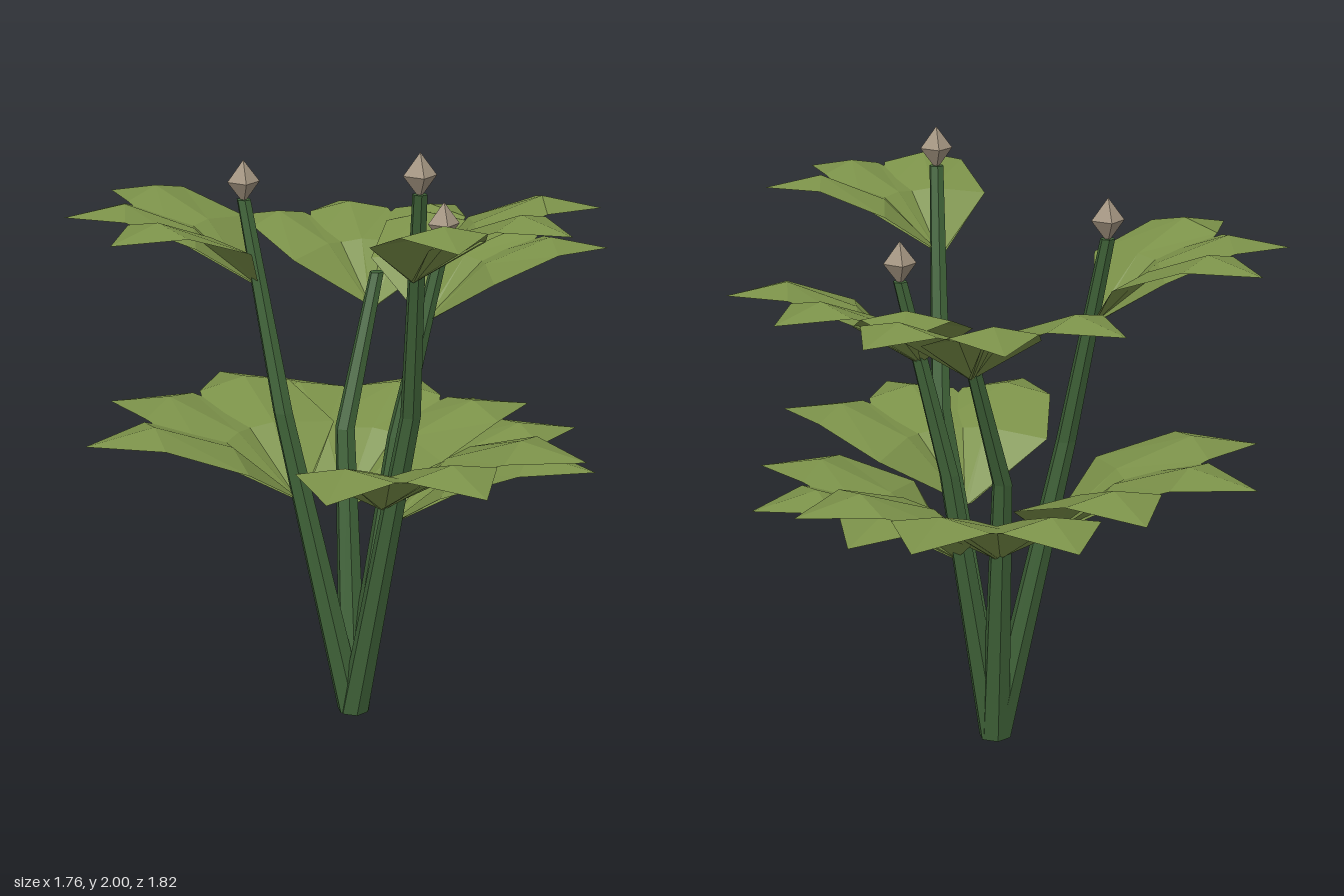
import * as THREE from 'three';

const leafMat = new THREE.MeshStandardMaterial({ color: 0x7b9149, flatShading: true, side: THREE.DoubleSide });
const stemMat = new THREE.MeshStandardMaterial({ color: 0x3f6238, flatShading: true });
const budMat = new THREE.MeshStandardMaterial({ color: 0xa59682, flatShading: true });

// One pointed lobe of unit length along +x, folded along its midrib.
// Cross-sections: [distance out, half width, midrib height, edge height]
function lobeGeometry() {
  const rows = [
    [0, 0.02, 0, 0.01],
    [0.32, 0.31, 0.32, 0.28],
    [0.68, 0.23, 0.46, 0.41],
    [1, 0, 0.39, 0.39],
  ];
  const positions = [];
  const index = [];
  rows.forEach(([x, w, mid, edge], i) => {
    positions.push(x, edge, -w, x, mid, 0, x, edge, w);
    if (i === 0) return;
    for (let j = 0; j < 2; j++) {
      const a = (i - 1) * 3 + j, b = a + 3;
      index.push(a, a + 1, b + 1);
      if (i < rows.length - 1) index.push(a, b + 1, b);
      else index.splice(-3, 3, a, a + 1, b + 1);
    }
  });
  const geo = new THREE.BufferGeometry();
  geo.setAttribute('position', new THREE.Float32BufferAttribute(positions, 3));
  geo.setIndex(index);
  const flat = geo.toNonIndexed();
  flat.computeVertexNormals();
  return flat;
}

// Three lobes fanned from one point; heading is measured from +x towards +z
function makeLeaf(name, lobe, { at, heading, size }) {
  const leaf = new THREE.Group();
  leaf.name = name;
  for (const turn of [-41, 0, 41]) {
    const mesh = new THREE.Mesh(lobe, leafMat);
    mesh.name = 'leafLobe';
    mesh.rotation.y = -THREE.MathUtils.degToRad(heading + turn);
    leaf.add(mesh);
  }
  leaf.position.set(...at);
  leaf.scale.set(size, 0.6 + (size - 0.6) * 0.5, size);
  return leaf;
}

// Six-sided tapering stem whose rings are moved onto three path points
function makeStem(path) {
  const radii = [0.05, 0.034, 0.024];
  const geo = new THREE.CylinderGeometry(1, 1, 2, 6, 2);
  const p = geo.attributes.position;
  for (let i = 0; i < p.count; i++) {
    const k = Math.round(p.getY(i)) + 1;
    const [x, y, z] = path[k];
    p.setXYZ(i, x + p.getX(i) * radii[k], y, z + p.getZ(i) * radii[k]);
  }
  geo.computeVertexNormals();
  const stem = new THREE.Mesh(geo, stemMat);
  stem.name = 'stem';
  return stem;
}

const shoots = [
  { // front
    path: [[0.02, 0, -0.025], [0.16, 1.1, 0.18], [0.135, 1.87, 0.38]], bud: true,
    lower: { at: [0.08, 0.77, 0.13], heading: 76, size: 0.69 },
    upper: { at: [0.13, 1.58, 0.33], heading: 50, size: 0.577 },
  },
  { // right
    path: [[0.015, 0, -0.035], [-0.2, 1.05, -0.11], [-0.3, 1.74, -0.235]], bud: true,
    lower: { at: [-0.14, 0.73, -0.12], heading: 217, size: 0.72 },
    upper: { at: [-0.27, 1.46, -0.2], heading: 187.5, size: 0.615 },
  },
  { // left
    path: [[0.025, 0, -0.035], [0.18, 0.95, -0.085], [0.335, 1.6, -0.1]], bud: true,
    lower: { at: [0.16, 0.65, -0.06], heading: -11, size: 0.685 },
    upper: { at: [0.28, 1.33, -0.1], heading: -35, size: 0.6 },
  },
  { // back, without a bud
    path: [[0.02, 0, -0.04], [0.03, 0.95, -0.21], [0.165, 1.45, -0.33]], bud: false,
    lower: { at: [0.04, 0.68, -0.18], heading: -58, size: 0.71 },
    upper: { at: [0.15, 1.33, -0.32], heading: -89, size: 0.595 },
  },
];

export function createModel() {
  const plant = new THREE.Group();
  plant.name = 'leafyPlant';
  const lobe = lobeGeometry();
  const budGeo = new THREE.OctahedronGeometry(1);

  for (const { path, bud, lower, upper } of shoots) {
    const shoot = new THREE.Group();
    shoot.name = 'shoot';
    shoot.add(makeStem(path));
    shoot.add(makeLeaf('lowerLeaf', lobe, lower));
    shoot.add(makeLeaf('upperLeaf', lobe, upper));
    if (bud) {
      const mesh = new THREE.Mesh(budGeo, budMat);
      mesh.name = 'bud';
      mesh.scale.set(0.053, 0.072, 0.053);
      const [x, y, z] = path[2];
      mesh.position.set(x, y + 0.058, z);
      shoot.add(mesh);
    }
    plant.add(shoot);
  }
  return plant;
}
